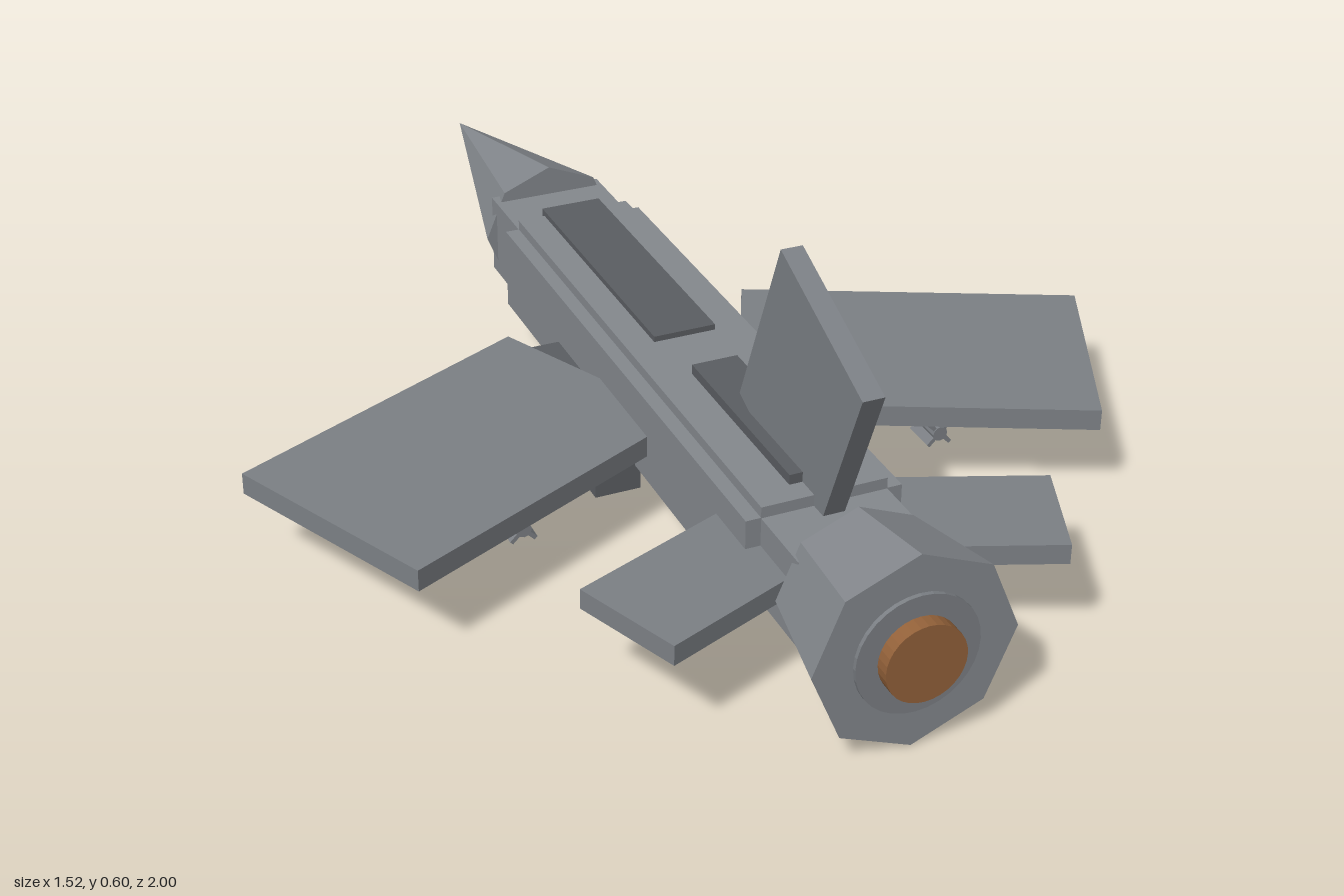
import * as THREE from 'three';

const AXIS_Y = 0.165; // height of the fuselage centreline

const paint = (color) => new THREE.MeshStandardMaterial({ color, flatShading: true });
const hull = paint(0x85898e);
const plate = paint(0x7c8085);
const dark = paint(0x5b5e62);
const brown = paint(0x94623a);
const navy = new THREE.MeshStandardMaterial({ color: 0x2c2d3c });
const red = paint(0xb03030);

export function createModel() {
  const model = new THREE.Group();

  const add = (name, geometry, material, x, y, z, parent = model) => {
    const mesh = new THREE.Mesh(geometry, material);
    mesh.name = name;
    mesh.position.set(x, y, z);
    parent.add(mesh);
    return mesh;
  };

  // Box given by its lower and upper limits on each axis
  const block = (name, material, [x0, x1], [y0, y1], [z0, z1]) =>
    add(name, new THREE.BoxGeometry(x1 - x0, y1 - y0, z1 - z0), material,
      (x0 + x1) / 2, (y0 + y1) / 2, (z0 + z1) / 2);

  // Round part along z, with its radius at the rear (+z) and at the front (-z)
  const barrel = (rear, front, z0, z1, sides) =>
    new THREE.CylinderGeometry(rear, front, z1 - z0, sides)
      .rotateX(Math.PI / 2).translate(0, 0, (z0 + z1) / 2);

  // Fuselage: long core, wide middle section and a raised spine and belly
  block('fuselageCore', hull, [-0.105, 0.105], [0.092, 0.238], [-0.5, 0.8]);
  block('fuselageSides', hull, [-0.13, 0.13], [0.091, 0.239], [-0.355, 0.675]);
  block('fuselageSpine', hull, [-0.105, 0.105], [0.077, 0.257], [-0.355, 0.675]);
  block('canopyPanel', dark, [-0.055, 0.055], [0.24, 0.267], [-0.365, 0.155]);
  block('rearPanel', dark, [-0.04, 0.04], [0.24, 0.274], [0.275, 0.635]);

  // Eight-sided nose with a sensor ball below it
  add('noseCone', barrel(0.125, 0, -0.995, -0.475, 8), hull, 0, AXIS_Y + 0.002, 0);
  add('sensorBall', new THREE.SphereGeometry(0.053, 24, 16), navy, 0, 0.077, -0.475);

  // Flared nozzle, rim and exhaust
  add('nozzle', barrel(0.165, 0.13, 0.78, 0.968, 8), hull, 0, AXIS_Y, 0);
  add('nozzleRim', barrel(0.1, 0.1, 0.9, 0.975, 32), plate, 0, AXIS_Y, 0);
  add('exhaust', barrel(0.065, 0.065, 0.9, 1, 32), brown, 0, AXIS_Y, 0);

  // Raked tail fin
  const fin = add('tailFin', new THREE.BoxGeometry(0.036, 0.34, 0.293), plate, 0, 0.39, 0.61);
  fin.rotation.x = 0.394;

  // Paired parts, mirrored about x = 0
  for (const [side, s] of [['left', 1], ['right', -1]]) {
    const wing = add(`${side}Wing`, new THREE.BoxGeometry(0.593, 0.037, 0.4), plate,
      s * 0.405, 0.156, 0.21);
    wing.rotation.y = -s * 0.44;

    const tailplane = add(`${side}Tailplane`, new THREE.BoxGeometry(0.4, 0.034, 0.193), plate,
      s * 0.172, 0.173, 0.691);
    tailplane.rotation.y = -s * 0.377;

    const intake = block(`${side}Intake`, dark, [0.12, 0.2], [0.045, 0.145], [-0.095, 0.25]);
    intake.position.x *= s;

    // Missile under the wing, with crossed tail fins
    const missile = new THREE.Group();
    missile.name = `${side}Missile`;
    missile.position.set(s * 0.37, 0.102, 0);
    model.add(missile);
    add('missileBody', barrel(0.013, 0.013, 0.05, 0.375, 12), plate, 0, 0, 0, missile);
    add('missileTip', barrel(0.013, 0, 0, 0.05, 12), red, 0, 0, 0, missile);
    for (const turn of [1, -1]) {
      const tail = add('missileFins', new THREE.BoxGeometry(0.058, 0.007, 0.06), plate,
        0, 0, 0.343, missile);
      tail.rotation.z = turn * Math.PI / 4;
    }
  }

  return model;
}
